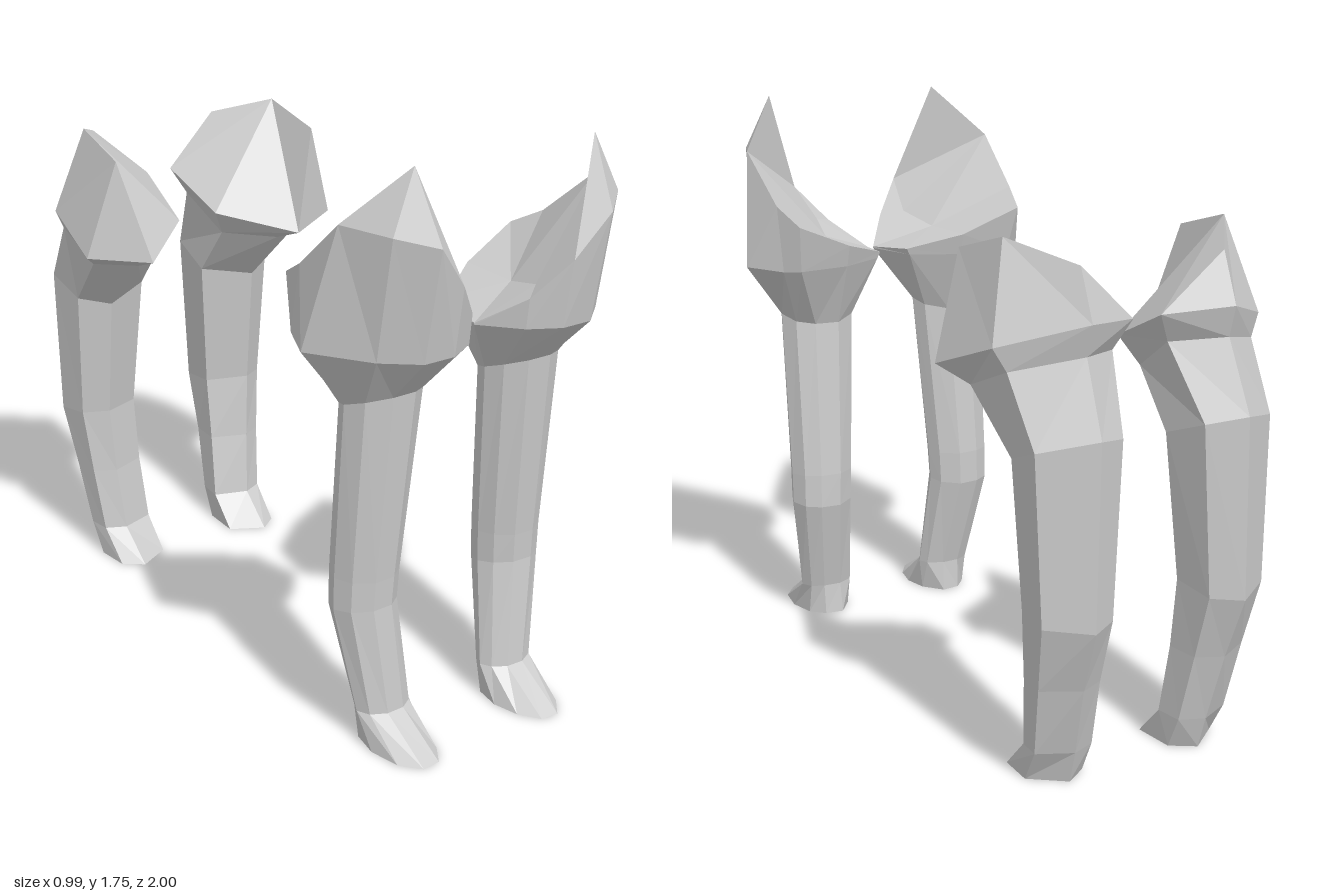
import * as THREE from 'three';

// Ring of points: unit outline [u, v] scaled to x and z ranges; y runs from back to front
function ring(outline, [x0, x1, zBack, zFront, yBack, yFront]) {
  return outline.map(([u, v]) => {
    const t = (v + 1) / 2;
    return [x0 + (x1 - x0) * (u + 1) / 2, yBack + (yFront - yBack) * t, zBack + (zFront - zBack) * t];
  });
}

// Skin stacked rings, close the base, and add cap triangles
// (cap indices below n address the last ring, from n on the extra points)
function loft(rings, extra, cap, closeBase, side) {
  const pos = [], n = rings[0].length;
  const tri = (a, b, c) => {
    for (const p of side > 0 ? [a, b, c] : [a, c, b]) pos.push(p[0] * side, p[1], p[2]);
  };
  for (let r = 0; r + 1 < rings.length; r++) {
    const lo = rings[r], hi = rings[r + 1];
    for (let i = 0; i < n; i++) {
      const j = (i + 1) % n;
      tri(lo[i], lo[j], hi[j]);
      tri(lo[i], hi[j], hi[i]);
    }
  }
  if (closeBase) for (let i = 1; i + 1 < n; i++) tri(rings[0][0], rings[0][i + 1], rings[0][i]);
  const top = [...rings[rings.length - 1], ...extra];
  for (const [a, b, c] of cap) tri(top[a], top[b], top[c]);
  const geo = new THREE.BufferGeometry();
  geo.setAttribute('position', new THREE.Float32BufferAttribute(pos, 3));
  geo.computeVertexNormals();
  return geo;
}

// Outlines start at the front and turn outward, back, inward
const frontOutline = [[0.28, 1], [0.8, 0.6], [1, -0.05], [0.8, -0.65], [0.35, -0.95],
  [-0.3, -1], [-0.85, -0.55], [-1, 0], [-0.8, 0.55], [-0.35, 0.97]];
const backOutline = [[0.2, 1], [0.9, 0.6], [1, -0.35], [-0.1, -1], [-0.9, -0.6], [-1, 0.5]];

// Front leg: foot, ankle, knee, neck
const frontShank = [
  [0.135, 0.32, 0.64, 0.935, 0, 0],
  [0.14, 0.32, 0.65, 0.77, 0.1, 0.1],
  [0.16, 0.367, 0.573, 0.745, 0.41, 0.43],
  [0.155, 0.367, 0.573, 0.75, 0.52, 0.52],
  [0.12, 0.37, 0.61, 0.80, 1.03, 1.09],
].map(r => ring(frontOutline, r));

// Shoulder: waist ring, uneven rim, peak and two hollow points
const shoulderWaist = [[0.29, 0.94], [0.385, 0.86], [0.497, 0.68], [0.43, 0.54], [0.38, 0.515],
  [0.21, 0.53], [0.06, 0.61], [0.01, 0.78], [0.10, 0.89], [0.19, 0.94]].map(([x, z]) => [x, 1.23, z]);
const shoulderRim = [[0.29, 1.555, 1.0], [0.385, 1.58, 0.92], [0.445, 1.59, 0.77], [0.43, 1.435, 0.58],
  [0.40, 1.38, 0.475], [0.21, 1.30, 0.51], [0.05, 1.25, 0.61], [0.01, 1.235, 0.78],
  [0.10, 1.32, 0.90], [0.19, 1.43, 0.97]];
const shoulderPeaks = [[0.305, 1.75, 0.90], [0.20, 1.30, 0.71], [0.165, 1.335, 0.85]];
const shoulderCap = [[10, 0, 1], [10, 1, 2], [10, 9, 0], [10, 2, 9], [2, 12, 9], [2, 11, 12], [2, 3, 11],
  [3, 4, 11], [11, 4, 5], [11, 5, 6], [11, 6, 7], [11, 7, 12], [12, 7, 8], [12, 8, 9]];

// Hind leg: foot, ankle, hock, shin, knee
const backShank = [
  [0.14, 0.32, -0.84, -0.60, 0, 0],
  [0.14, 0.325, -0.87, -0.715, 0.1, 0.1],
  [0.15, 0.345, -0.93, -0.74, 0.31, 0.31],
  [0.15, 0.367, -1.0, -0.75, 0.5, 0.53],
  [0.12, 0.385, -1.0, -0.71, 1.03, 0.925],
].map(r => ring(backOutline, r));

// Thigh: lower and upper rim, with a ridge on top
const thighLower = [[0.27, 1.10, -0.54], [0.40, 1.115, -0.60], [0.40, 1.19, -0.79],
  [0.23, 1.235, -0.91], [0.09, 1.22, -0.82], [0.12, 1.115, -0.65]];
const thighUpper = [[0.28, 1.14, -0.43], [0.465, 1.165, -0.52], [0.435, 1.255, -0.775],
  [0.23, 1.325, -0.935], [0.045, 1.305, -0.85], [0.07, 1.2, -0.61]];
const thighRidge = [[0.37, 1.47, -0.485], [0.36, 1.53, -0.70], [0.23, 1.47, -0.875]];
const thighCap = [[6, 0, 1], [6, 1, 2], [6, 2, 7], [7, 2, 3], [7, 3, 8], [8, 3, 4],
  [7, 8, 4], [7, 4, 5], [7, 5, 0], [7, 0, 6]];

export function createModel() {
  const model = new THREE.Group();
  model.name = 'fourLegs';
  const grey = new THREE.MeshStandardMaterial({ color: 0xcccccc });
  grey.name = 'lightGrey';
  grey.flatShading = true;

  const addLeg = (legName, parts) => {
    const leg = new THREE.Group();
    leg.name = legName;
    for (const [name, geo] of parts) {
      const mesh = new THREE.Mesh(geo, grey);
      mesh.name = name;
      leg.add(mesh);
    }
    model.add(leg);
  };

  for (const [label, side] of [['left', 1], ['right', -1]]) {
    addLeg(label + 'FrontLeg', [
      ['shank', loft(frontShank, [], [], true, side)],
      ['shoulder', loft([frontShank[4], shoulderWaist, shoulderRim], shoulderPeaks, shoulderCap, false, side)],
    ]);
    addLeg(label + 'BackLeg', [
      ['shank', loft(backShank, [], [], true, side)],
      ['thigh', loft([backShank[4], thighLower, thighUpper], thighRidge, thighCap, false, side)],
    ]);
  }
  return model;
}
